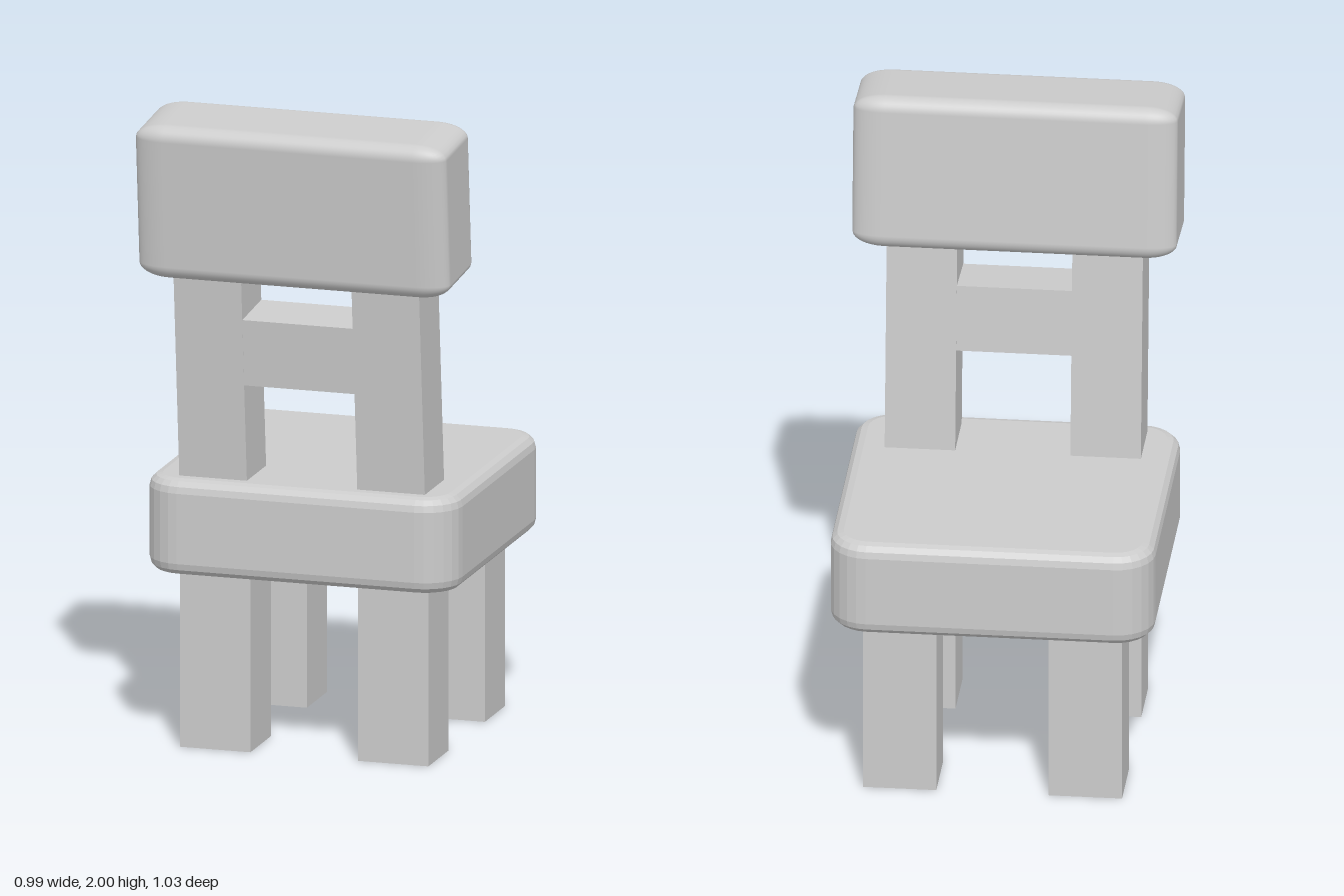
import * as THREE from 'three';
import { RoundedBoxGeometry } from 'three/addons/geometries/RoundedBoxGeometry.js';

const material = new THREE.MeshStandardMaterial({ color: 0xcccccc });

function addPart(parent, name, geometry, x, y, z) {
  const mesh = new THREE.Mesh(geometry, material);
  mesh.name = name;
  mesh.position.set(x, y, z);
  parent.add(mesh);
  return mesh;
}

// Slab with rounded plan corners and a softened top and bottom edge
function seatGeometry(width, height, depth, radius, bevel) {
  const w = width / 2 - bevel, d = depth / 2 - bevel, r = radius - bevel;
  const shape = new THREE.Shape();
  shape.absarc(w - r, d - r, r, 0, Math.PI / 2);
  shape.absarc(-w + r, d - r, r, Math.PI / 2, Math.PI);
  shape.absarc(-w + r, -d + r, r, Math.PI, Math.PI * 1.5);
  shape.absarc(w - r, -d + r, r, Math.PI * 1.5, Math.PI * 2);
  const geometry = new THREE.ExtrudeGeometry(shape, {
    depth: height - 2 * bevel, curveSegments: 3,
    bevelSize: bevel, bevelThickness: bevel, bevelSegments: 3,
  });
  return geometry.center().rotateX(-Math.PI / 2);
}

export function createModel() {
  const chair = new THREE.Group();
  chair.name = 'chair';

  addPart(chair, 'seat', seatGeometry(0.99, 0.3, 0.955, 0.12, 0.04), 0, 0.705, -0.0375);

  // Four square legs
  for (const [side, x] of [['left', 0.283], ['right', -0.283]]) {
    for (const [end, z] of [['Back', 0.248], ['Front', -0.318]]) {
      addPart(chair, `${side}${end}Leg`, new THREE.BoxGeometry(0.224, 0.6, 0.204), x, 0.3, z);
    }
  }

  // Leaning back frame, pivoted at the seat top
  const back = new THREE.Group();
  back.name = 'back';
  back.position.set(0, 0.855, 0.275);
  back.rotation.x = 0.09;
  chair.add(back);

  for (const [side, x] of [['left', 0.283], ['right', -0.283]]) {
    addPart(back, `${side}Post`, new THREE.BoxGeometry(0.215, 0.85, 0.192), x, 0.325, 0);
  }
  addPart(back, 'crossRail', new THREE.BoxGeometry(0.36, 0.21, 0.19), 0, 0.42, 0);

  // Headrest: edge rounding is stretched sideways
  const stretch = 2.2;
  const headrest = new RoundedBoxGeometry(0.99 / stretch, 0.49, 0.294, 4, 0.045);
  headrest.scale(stretch, 1, 1);
  addPart(back, 'headrest', headrest, 0, 0.894, 0);

  return chair;
}
